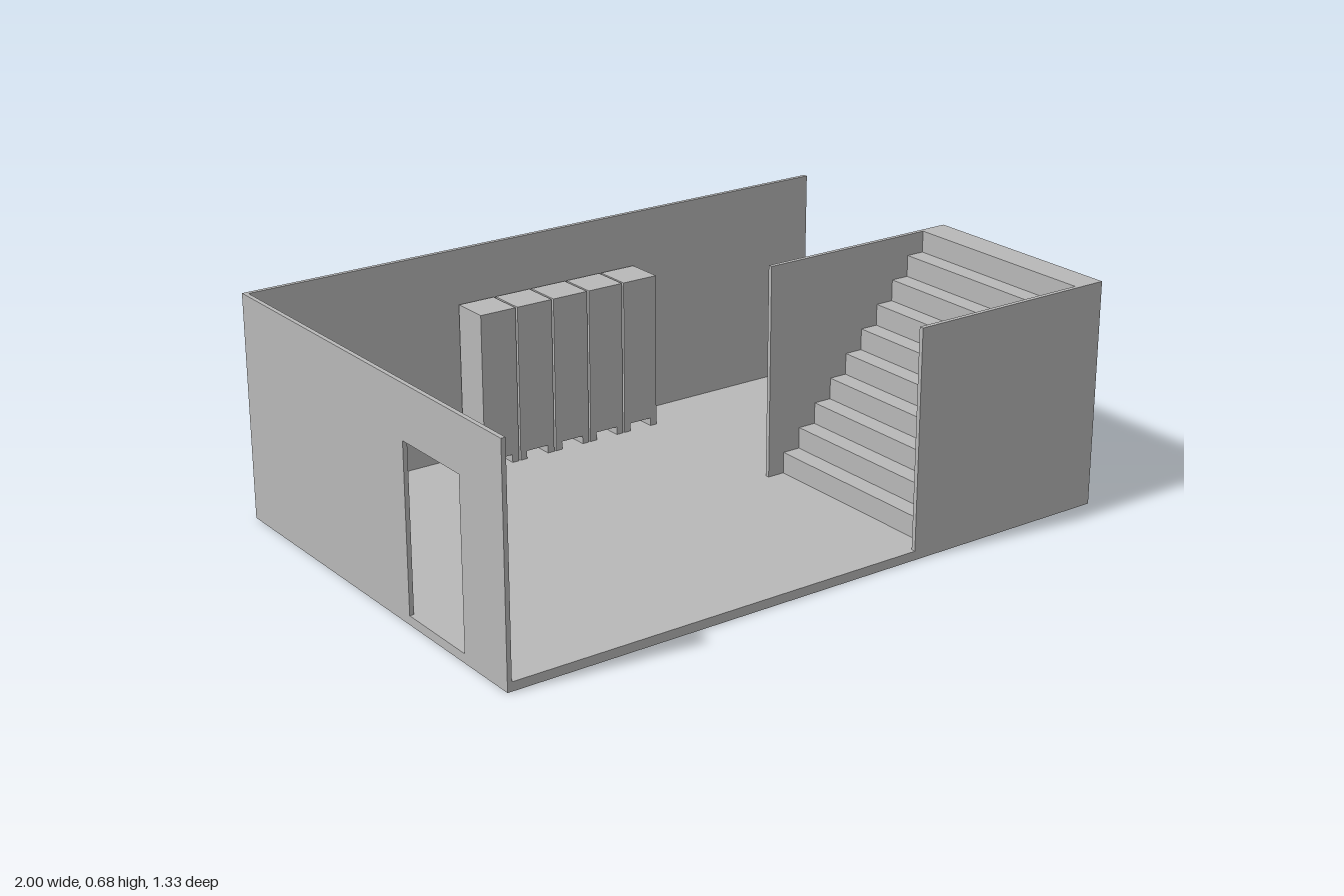
import * as THREE from 'three';

const W = 2, D = 1.333, H = 0.68;   // overall size
const FLOOR = 0.027, T = 0.0133;    // floor and wall thickness

export function createModel() {
  const root = new THREE.Group();
  root.name = 'roomWithStairs';
  const grey = new THREE.MeshStandardMaterial({ color: 0xb8b8b8 });
  grey.name = 'plain grey';

  const add = (name, geometry, parent = root) => {
    const mesh = new THREE.Mesh(geometry, grey);
    mesh.name = name;
    parent.add(mesh);
    return mesh;
  };
  // Box given by its lower and upper corners
  const box = (name, x0, x1, y0, y1, z0, z1) => {
    const mesh = add(name, new THREE.BoxGeometry(x1 - x0, y1 - y0, z1 - z0));
    mesh.position.set((x0 + x1) / 2, (y0 + y1) / 2, (z0 + z1) / 2);
    return mesh;
  };
  // Outline in x and y, extruded along z
  const prism = (points, z0, z1) => {
    const shape = new THREE.Shape(points.map(([x, y]) => new THREE.Vector2(x, y)));
    return new THREE.ExtrudeGeometry(shape, { depth: z1 - z0, bevelEnabled: false }).translate(0, 0, z0);
  };

  // Floor and back wall
  box('floor', -W / 2, W / 2, 0, FLOOR, -D / 2, D / 2);
  box('backWall', -W / 2, W / 2, FLOOR, H, -D / 2, -D / 2 + T);

  // Side wall with a doorway; outline runs along z, then turned into place
  const back = -D / 2 + T, front = D / 2, doorBack = 0.195, doorFront = 0.467, doorTop = 0.52;
  const sideWall = prism([
    [-front, FLOOR], [-doorFront, FLOOR], [-doorFront, doorTop], [-doorBack, doorTop],
    [-doorBack, FLOOR], [-back, FLOOR], [-back, H], [-front, H],
  ], 0, T);
  sideWall.rotateY(Math.PI / 2).translate(-W / 2, 0, 0);
  add('doorwayWall', sideWall);

  // Stairwell walls on both sides of the flight
  const wellX = 0.333;
  box('stairWallInner', wellX, W / 2, FLOOR, H, 0, T);
  box('stairWallFront', wellX, W / 2, FLOOR, H, D / 2 - T, D / 2);

  // Solid flight of ten risers ending in a landing flush with the walls
  const steps = 10, firstX = 0.388, run = 0.0577, rise = (H - FLOOR) / steps;
  const profile = [[W / 2, FLOOR], [firstX, FLOOR]];
  for (let i = 0; i < steps; i++) {
    const y = FLOOR + (i + 1) * rise;
    profile.push([firstX + i * run, y]);
    profile.push([i < steps - 1 ? firstX + (i + 1) * run : W / 2, y]);
  }
  add('stairs', prism(profile.reverse(), T, D / 2 - T));

  // Row of five cabinets with a notch under each
  const cabinets = new THREE.Group();
  cabinets.name = 'cabinets';
  root.add(cabinets);
  const half = 0.06, notch = 0.0375, notchTop = 0.052, top = 0.512;
  const cabinet = prism([
    [-half, FLOOR], [-notch, FLOOR], [-notch, notchTop], [notch, notchTop],
    [notch, FLOOR], [half, FLOOR], [half, top], [-half, top],
  ], -0.647, -0.527);
  for (let i = -2; i <= 2; i++) add('cabinet', cabinet, cabinets).position.x = i * 0.1267;

  return root;
}
